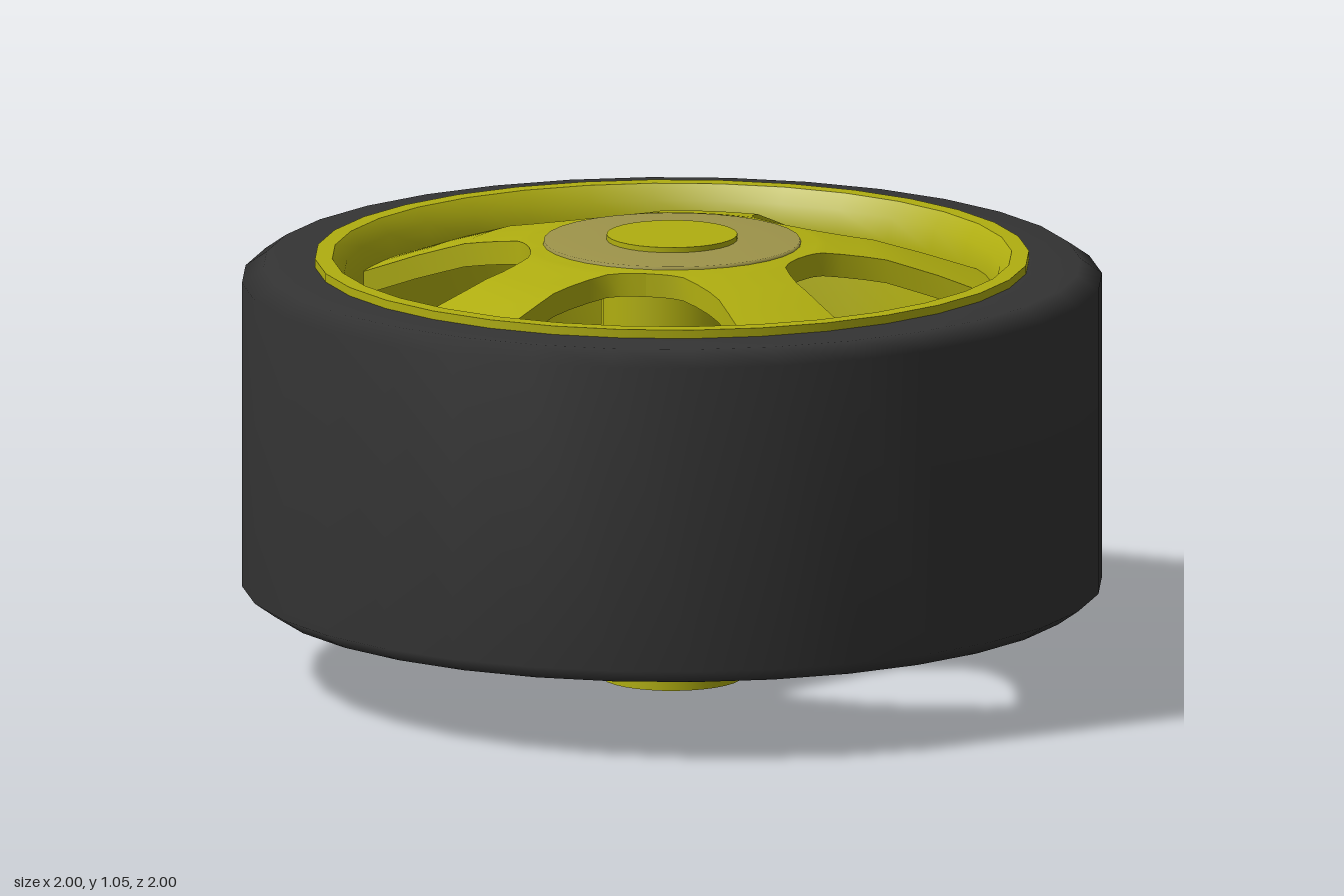
import * as THREE from 'three';
import { toCreasedNormals } from 'three/addons/utils/BufferGeometryUtils.js';

const SIDES = 32;
const yellow = new THREE.MeshStandardMaterial({ color: 0xb0ae10 });
yellow.name = 'yellow plastic';
const rubber = new THREE.MeshStandardMaterial({ color: 0x343434 });
rubber.name = 'dark rubber';
const khaki = new THREE.MeshStandardMaterial({ color: 0x9e944a });
khaki.name = 'khaki hub';

const lathe = (points) =>
  new THREE.LatheGeometry(points.map(([r, y]) => new THREE.Vector2(r, y)), SIDES);

// piecewise linear lookup in a table of [x, y] pairs
function lookup(table, x) {
  for (let i = 1; i < table.length; i++) {
    const [x0, y0] = table[i - 1], [x1, y1] = table[i];
    if (x <= x1) return y0 + ((y1 - y0) * (x - x0)) / (x1 - x0);
  }
  return table[table.length - 1][1];
}

// domed spoke height and half-angle of the openings, both by radius
const DOME = [[0, 1.032], [0.25, 1.032], [0.35, 1.025], [0.5, 0.998], [0.62, 0.96], [0.76, 0.91]];
const GAP = [[0.334, 0], [0.338, 6], [0.345, 10], [0.36, 14.5], [0.4, 18.5], [0.45, 21.5],
  [0.5, 23], [0.6, 24.4], [0.76, 24.4]];
const RADII = [0.05, 0.15, 0.25, 0.3, 0.334, 0.338, 0.345, 0.36, 0.4, 0.45, 0.5, 0.56, 0.62, 0.69, 0.76];

// one fifth of the dome: a closed slab narrowing to a spoke
function spokeGeometry() {
  const cols = 10, thick = 0.055, pos = [], index = [];
  const section = RADII.map((r) => {
    const half = THREE.MathUtils.degToRad(36 - (r < 0.334 ? 0 : lookup(GAP, r)));
    const ring = [];
    for (let k = 0; k <= cols; k++) {
      const a = -half + (2 * half * k) / cols;
      ring.push([r * Math.sin(a), lookup(DOME, r), r * Math.cos(a)]);
    }
    // top from left to right, then underside back again
    return [...ring, ...ring.slice().reverse().map(([x, y, z]) => [x, y - thick, z])];
  });
  section.forEach((ring) => ring.forEach((p) => pos.push(...p)));
  const n = 2 * (cols + 1);
  for (let i = 0; i < RADII.length - 1; i++) {
    for (let k = 0; k < n; k++) {
      const a = i * n + k, b = i * n + ((k + 1) % n);
      index.push(a, a + n, b, b, a + n, b + n);
    }
  }
  const g = new THREE.BufferGeometry();
  g.setAttribute('position', new THREE.Float32BufferAttribute(pos, 3));
  g.setIndex(index);
  return toCreasedNormals(g, 0.8);
}

export function createModel() {
  const group = new THREE.Group();
  const add = (name, geometry, material, y = 0) => {
    const mesh = new THREE.Mesh(geometry, material);
    mesh.name = name;
    mesh.position.y = y;
    group.add(mesh);
    return mesh;
  };

  // tyre with bevelled shoulders
  add('tyre', lathe([[0.79, 0.19], [0.95, 0.19], [1, 0.225], [1, 0.945], [0.95, 0.98], [0.79, 0.98]]), rubber);

  // rim barrel with a flared lip at both ends
  add('rim', toCreasedNormals(lathe([
    [0.75, 0.26], [0.762, 0.205], [0.79, 0.172], [0.83, 0.172], [0.83, 1], [0.79, 1],
    [0.762, 0.965], [0.75, 0.91], [0.75, 0.26],
  ]), 0.75), yellow);

  // five spokes, one facing the front
  const spoke = spokeGeometry();
  for (let i = 0; i < 5; i++) add('spoke', spoke, yellow).rotation.y = (i * Math.PI * 2) / 5;

  // hub ring, centre cap and axle
  add('hubRing', lathe([[0.3, 1.028], [0.298, 1.036], [0.14, 1.038]]), khaki);
  add('hubCap', new THREE.CylinderGeometry(0.152, 0.152, 0.03, SIDES), yellow, 1.035);
  add('axle', new THREE.CylinderGeometry(0.165, 0.165, 1.01, SIDES), yellow, 0.505);

  return group;
}
